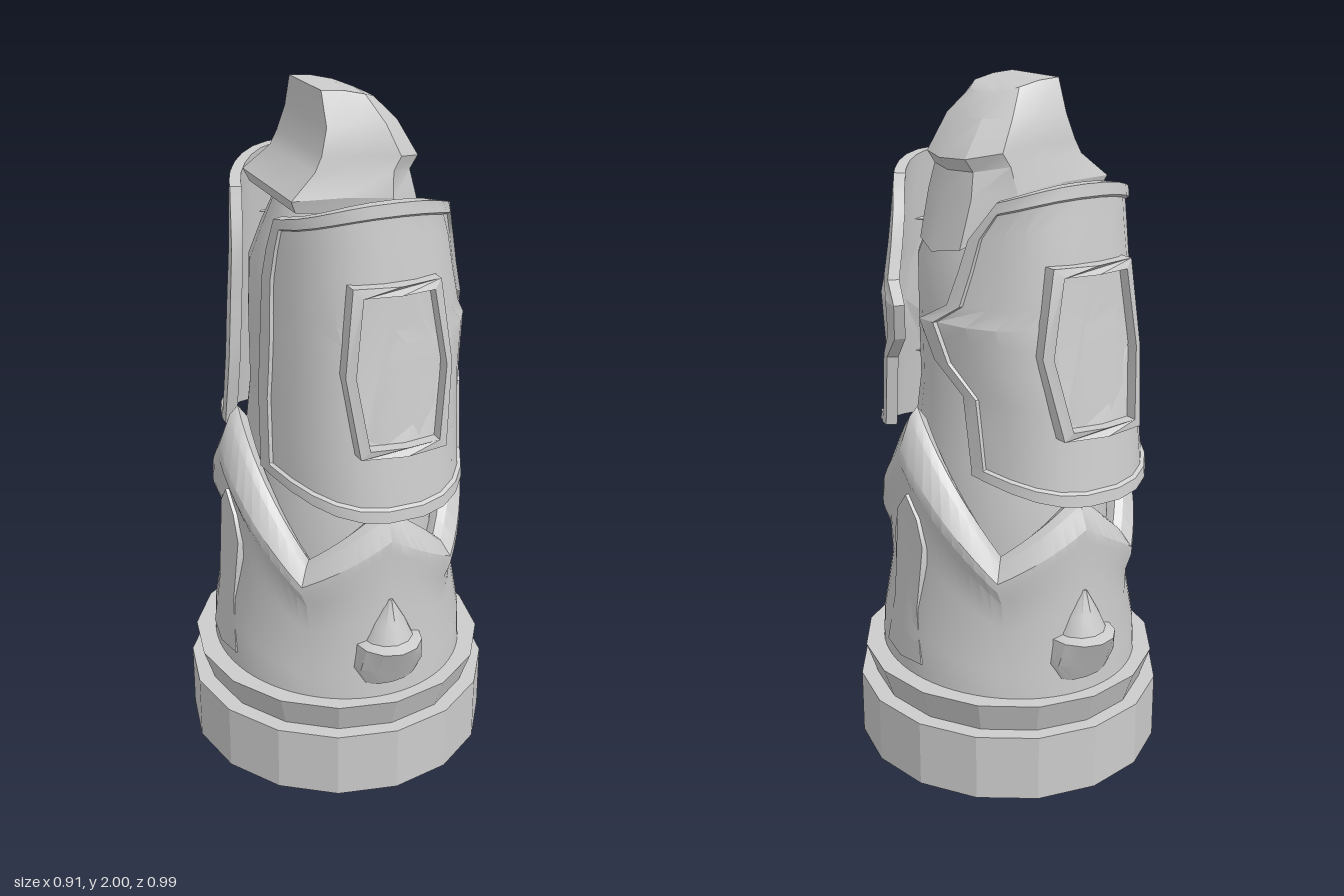
import * as THREE from 'three';
import { toCreasedNormals } from 'three/addons/utils/BufferGeometryUtils.js';

const material = new THREE.MeshStandardMaterial({ color: 0xcccccc });

function addMesh(group, name, geometry, crease = 0.5) {
  const mesh = new THREE.Mesh(toCreasedNormals(geometry, crease), material);
  mesh.name = name;
  group.add(mesh);
}

// Joins closed rings of points; wraps round, or caps both ends with strips.
function loft(rings, wrap = false) {
  const n = rings[0].length, count = rings.length, index = [];
  for (let i = 0; i < (wrap ? count : count - 1); i++)
    for (let k = 0; k < n; k++) {
      const a = i * n + k, b = i * n + (k + 1) % n;
      const c = ((i + 1) % count) * n + k, d = ((i + 1) % count) * n + (k + 1) % n;
      index.push(a, b, d, a, d, c);
    }
  if (!wrap)
    for (let k = 0; k < Math.floor(n / 2) - 1; k++) {
      const a = k, b = k + 1, c = n - 2 - k, d = n - 1 - k, o = (count - 1) * n;
      index.push(a, d, c, a, c, b, o + a, o + b, o + c, o + a, o + c, o + d);
    }
  // turn the faces outward if the volume comes out negative
  const p = rings.flat().map((q) => new THREE.Vector3(...q));
  let volume = 0;
  for (let i = 0; i < index.length; i += 3)
    volume += p[index[i]].dot(p[index[i + 1]].clone().cross(p[index[i + 2]]));
  if (volume < 0) index.reverse();
  const geometry = new THREE.BufferGeometry().setFromPoints(p);
  geometry.setIndex(index);
  return geometry.toNonIndexed();
}

const ellipse = (rx, rz, y, sides, cz = 0) => Array.from({ length: sides }, (_, k) => {
  const a = k / sides * Math.PI * 2;
  return [rx * Math.cos(a), y, cz + rz * Math.sin(a)];
});

// Piecewise linear lookup
function lerpTable(table, v) {
  for (let i = 1; i < table.length; i++) {
    const [v0, w0] = table[i - 1], [v1, w1] = table[i];
    if (v <= v1) return w0 + (w1 - w0) * Math.max(0, (v - v0) / (v1 - v0));
  }
  return table[table.length - 1][1];
}

// Skirt with a zigzag upper edge, hollowed on the two sides below a proud chevron
function skirt() {
  const rings = [], sides = 72;
  for (let i = 0; i < sides; i++) {
    const a = i / sides * Math.PI * 2, c = Math.cos(a), s = Math.sin(a);
    const deg = Math.atan2(Math.abs(s), Math.abs(c)) * 180 / Math.PI;
    const top = lerpTable([[0, 1.1], [50, 0.71], [90, 0.88]], deg);
    const at = (rx, rz, part) => [rx * c, 0.28 + (top - 0.28) * part, rz * s];
    rings.push([
      at(0.375, 0.415, 0), at(0.37, 0.41, 0.2), at(0.333, 0.402, 0.5), at(0.34, 0.4, 0.7),
      at(0.366, 0.405, 0.8), at(0.365, 0.405, 0.86), at(0.33, 0.375, 0.97),
      at(0.305, 0.35, 1), at(0.275, 0.31, 0.95), at(0.2, 0.2, 0.5), at(0.2, 0.2, 0),
    ]);
  }
  return loft(rings, true);
}

// Curved surface shared by the armour plates and their panels
const depthAt = (y) => 0.478 - (y - 0.92) * 0.125;
const widthAt = (y) => 0.293 - (y - 0.92) * 0.05;
const RIGHT_EDGE = [[0.98, 0.24], [1.19, 0.21], [1.27, 0.11], [1.38, 0.07], [1.43, 0.16], [1.6, 0.2], [1.68, 0.27]];
const LEFT_EDGE = [[0.98, 0.15], [1.2, 0.12], [1.55, 0.12], [1.68, 0.17]];
const BULGE = [[1.0, 0], [1.2, 0.015], [1.38, 0.055], [1.45, 0.03], [1.68, 0]];

// Thick armour plate with a raised rim and a notched edge on the face side
function plate(dir) {
  const us = [0, 0.045, 0.05, 0.14, 0.23, 0.32, 0.41, 0.5, 0.59, 0.68, 0.77, 0.86, 0.95, 0.955, 1];
  const vs = [0.98, 1.005, 1.01, 1.1, 1.19, 1.27, 1.33, 1.38, 1.43, 1.52, 1.6, 1.65, 1.655, 1.68];
  const point = (i, j, offset) => {
    const u = us[i], row = vs[j], depth = depthAt(row);
    const angle = (z) => Math.asin(Math.pow(z / depth, 1.25));
    const start = angle(lerpTable(RIGHT_EDGE, row)), end = Math.PI - angle(lerpTable(LEFT_EDGE, row));
    const a = start + (end - start) * u, c = Math.cos(a), s = Math.sin(a);
    const t = (row - 0.98) / 0.7;
    const y = row + s * s * (0.08 * t ** 3 - 0.075 * (1 - t) ** 3);
    const A = widthAt(y) + offset + (c > 0 ? lerpTable(BULGE, row) * c : 0);
    return [Math.sign(c) * A * Math.abs(c) ** 0.8, y, dir * (depthAt(y) + offset) * s ** 0.8];
  };
  const rings = us.map((_, i) => {
    const outer = vs.map((_, j) => {
      const rim = i < 2 || i > us.length - 3 || j < 2 || j > vs.length - 3;
      return point(i, j, rim ? 0.01 : 0);
    });
    return [...outer, ...vs.map((_, j) => point(i, j, -0.022)).reverse()];
  });
  return loft(rings);
}

// Six-sided panel: raised frame and sunken field, bent to the plate
function hexagon(path, inset, dir) {
  const y0 = 1.1 + inset, y1 = 1.555 - inset, w = 0.125 - inset;
  const shift = 0.005 * dir;
  path.moveTo(-w, y0);
  [[0, y0], [w, y0], [0.156 + shift - inset, 1.32], [w, y1], [0, y1], [-w, y1], [-0.156 + shift + inset, 1.32]]
    .forEach(([x, y]) => path.lineTo(x, y));
  path.closePath();
  return path;
}
function bentPanel(shape, base, depth) {
  const geometry = new THREE.ExtrudeGeometry(shape, { depth, bevelEnabled: false });
  const p = geometry.attributes.position;
  for (let i = 0; i < p.count; i++) {
    const x = p.getX(i), y = p.getY(i);
    const curve = (1 - (Math.abs(x) / widthAt(y)) ** 2.5) ** 0.4;
    p.setZ(i, p.getZ(i) + base + depthAt(y) * curve);
  }
  return geometry;
}

// Head: tilted sections given as back x, back y, front x, front y, half width
function head() {
  const outline = [[0, 0], [0, 1], [0.35, 1], [0.7, 0.98], [0.94, 0.6], [1, 0],
    [0.94, -0.6], [0.7, -0.98], [0.35, -1], [0, -1]];
  const sections = [
    [-0.19, 1.7, 0.25, 1.54, 0.178], [-0.205, 1.735, 0.215, 1.69, 0.19], [-0.13, 1.8, 0.195, 1.76, 0.17],
    [-0.11, 1.84, 0.22, 1.795, 0.167], [-0.09, 1.91, 0.155, 1.9, 0.153], [-0.09, 2.0, 0.09, 1.96, 0.115],
  ];
  return loft(sections.map(([xb, yb, xf, yf, w]) =>
    outline.map(([f, z]) => [xb + (xf - xb) * f, yb + (yf - yb) * f * f, z * w])));
}

export function createModel() {
  const model = new THREE.Group();
  model.name = 'armouredTotem';

  // Foot disc and flared ring
  const disc = new THREE.CylinderGeometry(0.455, 0.455, 0.2, 16).rotateY(Math.PI / 2).scale(1, 1, 1.03);
  addMesh(model, 'base', disc.translate(0, 0.1, 0), 0.3);
  const flare = new THREE.CylinderGeometry(0.437, 0.405, 0.095, 16).rotateY(Math.PI / 2).scale(1, 1, 1.05);
  addMesh(model, 'baseRing', flare.translate(0, 0.2475, 0), 0.3);

  addMesh(model, 'skirt', skirt(), 0.5);

  // Waisted body between the plates
  const body = [[0.5, 0.28, 0.32], [0.75, 0.285, 0.325], [0.95, 0.27, 0.3], [1.15, 0.25, 0.26],
    [1.35, 0.25, 0.27], [1.5, 0.24, 0.3], [1.6, 0.205, 0.25], [1.7, 0.17, 0.165]];
  addMesh(model, 'body', loft(body.map(([y, rx, rz]) => ellipse(rx, rz, y, 24))), 0.6);

  addMesh(model, 'head', head(), 0.5);

  for (const dir of [1, -1]) {
    const face = dir > 0 ? 'front' : 'back';
    addMesh(model, face + 'Plate', plate(dir), 0.4);

    // Panel on the plate
    const frame = hexagon(new THREE.Shape(), 0, dir);
    frame.holes.push(hexagon(new THREE.Path(), 0.024, dir));
    const field = hexagon(new THREE.Shape(), 0.015, dir);
    for (const [name, shape, base, depth] of [['PanelFrame', frame, -0.015, 0.055], ['PanelField', field, -0.015, 0.022]]) {
      const geometry = bentPanel(shape, base, depth);
      if (dir < 0) geometry.rotateY(Math.PI);
      addMesh(model, face + name, geometry, 0.4);
    }

    // Jutting scoop low on the skirt, rising to a small cone
    const scoop = [[0.34, 0.085, 0.04], [0.4, 0.112, 0.07], [0.475, 0.1, 0.11],
      [0.485, 0.075, 0.075], [0.54, 0.05, 0.055], [0.61, 0.008, 0.03]];
    addMesh(model, face + 'Scoop', loft(scoop.map(([y, w, d]) => ellipse(w, d, y, 12, dir * 0.38))), 0.6);

    // Narrow spearhead strip leaning into the side hollow
    const half = [[0.055, 0.78], [0.08, 0.7], [0.075, 0.6], [0.065, 0.5], [0.1, 0.34]];
    const strip = new THREE.Shape([[0, 0.84], ...half, [0, 0.33], ...half.map(([x, y]) => [-x, y]).reverse()]
      .map(([x, y]) => new THREE.Vector2(x, y)));
    const spear = new THREE.ExtrudeGeometry(strip, { depth: 0.06, bevelEnabled: false });
    const p = spear.attributes.position;
    for (let i = 0; i < p.count; i++) {
      const lean = lerpTable([[0.34, 0.32], [0.6, 0.293], [0.84, 0.29]], p.getY(i));
      p.setZ(i, p.getZ(i) + lean - 1.3 * p.getX(i) ** 2);
    }
    addMesh(model, (dir > 0 ? 'left' : 'right') + 'Spearhead', spear.rotateY(dir * Math.PI / 2), 0.5);
  }
  return model;
}
